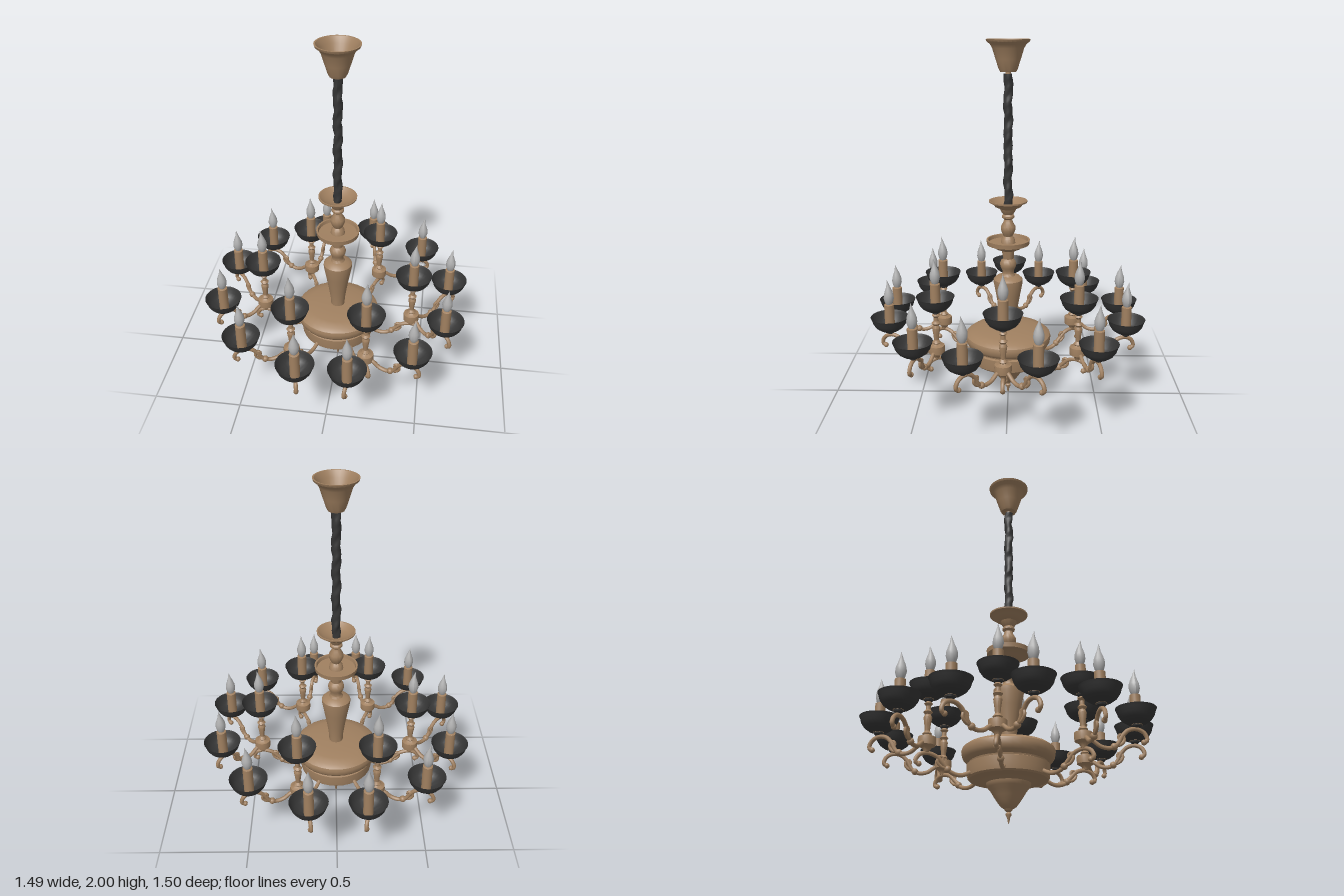
import * as THREE from 'three';
import { toCreasedNormals } from 'three/addons/utils/BufferGeometryUtils.js';

const bronze = new THREE.MeshStandardMaterial({ color: 0xa08060, side: THREE.DoubleSide });
bronze.name = 'bronze';
const darkShade = new THREE.MeshStandardMaterial({ color: 0x363636, side: THREE.DoubleSide });
darkShade.name = 'dark grey';
const glass = new THREE.MeshStandardMaterial({ color: 0xb0b0b0 });
glass.name = 'frosted glass';

// Turned part from [radius, height] pairs, listed bottom to top
function turned(points, segments) {
  const profile = points.map(([r, y]) => new THREE.Vector2(r, y));
  return toCreasedNormals(new THREE.LatheGeometry(profile, segments), 0.6);
}

function add(parent, name, geometry, material, x = 0, y = 0, z = 0) {
  const mesh = new THREE.Mesh(geometry, material);
  mesh.name = name;
  mesh.position.set(x, y, z);
  parent.add(mesh);
  return mesh;
}

// Tube through [distance, height] pairs in the arm's own plane
function tube(points, radius, steps) {
  const curve = new THREE.CatmullRomCurve3(points.map(([d, y]) => new THREE.Vector3(d, y, 0)));
  return new THREE.TubeGeometry(curve, steps, radius, 8);
}

// Candle light, measured from the underside of its cup
const cupGeo = turned([[0.012, -0.012], [0.022, -0.004], [0.024, 0.004], [0.05, 0.012], [0.075, 0.03],
  [0.09, 0.052], [0.097, 0.075], [0.103, 0.088]], 28);
const candleGeo = turned([[0, 0.004], [0.027, 0.004], [0.027, 0.158], [0.018, 0.162], [0, 0.162]], 16);
const bulbGeo = new THREE.LatheGeometry([[0.014, 0.158], [0.022, 0.172], [0.028, 0.195], [0.026, 0.218],
  [0.018, 0.242], [0.01, 0.262], [0.005, 0.28], [0, 0.3]].map(([r, y]) => new THREE.Vector2(r, y)), 14);
// bend the flame tip sideways
const bulbPos = bulbGeo.attributes.position;
for (let i = 0; i < bulbPos.count; i++) {
  const t = Math.max(0, (bulbPos.getY(i) - 0.23) / 0.07);
  bulbPos.setX(i, bulbPos.getX(i) + 0.008 * t * t);
}
bulbGeo.computeVertexNormals();

function candleLight(parent, x, y) {
  const light = new THREE.Group();
  light.name = 'candleLight';
  light.position.set(x, y, 0);
  add(light, 'cup', cupGeo, darkShade);
  add(light, 'candleSleeve', candleGeo, bronze);
  add(light, 'flameBulb', bulbGeo, glass);
  parent.add(light);
}

// Scrolled arm pieces, shared by the main arms and the branches
const mainArmGeo = tube([[0.17, 0.265], [0.21, 0.235], [0.26, 0.217], [0.31, 0.228], [0.345, 0.262],
  [0.385, 0.298], [0.437, 0.31], [0.475, 0.295], [0.49, 0.262], [0.472, 0.25]], 0.011, 44);
const branchGeo = tube([[0.0, 0.365], [0.045, 0.35], [0.085, 0.323], [0.13, 0.317], [0.168, 0.338],
  [0.192, 0.378], [0.225, 0.41], [0.268, 0.418], [0.305, 0.4], [0.318, 0.365], [0.3, 0.35]], 0.011, 44);
const curlGeo = tube([[0, 0], [0.028, 0.006], [0.048, 0.03], [0.04, 0.055], [0.022, 0.052], [0.02, 0.036]], 0.008, 18);
const beadGeo = new THREE.SphereGeometry(0.018, 12, 8);
const endGeo = new THREE.SphereGeometry(0.014, 10, 8);
const hubGeo = turned([[0, 0.308], [0.014, 0.312], [0.018, 0.325], [0.026, 0.335], [0.044, 0.345], [0.046, 0.368],
  [0.044, 0.388], [0.028, 0.392], [0.018, 0.4]], 20);
const stemGeo = turned([[0.018, 0.395], [0.024, 0.405], [0.013, 0.42], [0.016, 0.45], [0.022, 0.49],
  [0.015, 0.505], [0.024, 0.518], [0.013, 0.53], [0.012, 0.55], [0.022, 0.562], [0.014, 0.572], [0.014, 0.586]], 14);

function makeArm(degrees) {
  const arm = new THREE.Group();
  arm.name = 'arm';
  add(arm, 'mainScroll', mainArmGeo, bronze);
  add(arm, 'scrollEnd', endGeo, bronze, 0.472, 0.252);
  add(arm, 'scrollBead', beadGeo, bronze, 0.325, 0.24);
  add(arm, 'scrollCurl', curlGeo, bronze, 0.33, 0.243);
  add(arm, 'hub', hubGeo, bronze, 0.437);
  add(arm, 'stem', stemGeo, bronze, 0.437);
  candleLight(arm, 0.437, 0.582);
  for (const side of [-1, 1]) {
    const branch = new THREE.Group();
    branch.name = 'branch';
    branch.position.x = 0.437;
    branch.rotation.y = side * THREE.MathUtils.degToRad(42.7);
    add(branch, 'branchScroll', branchGeo, bronze);
    add(branch, 'scrollEnd', endGeo, bronze, 0.3, 0.352);
    add(branch, 'scrollBead', beadGeo, bronze, 0.15, 0.325);
    add(branch, 'scrollCurl', curlGeo, bronze, 0.155, 0.33);
    candleLight(branch, 0.272, 0.436);
    arm.add(branch);
  }
  arm.rotation.y = -THREE.MathUtils.degToRad(degrees);
  return arm;
}

// Gathered fabric sleeve around the hanging chain
function sleeveGeometry() {
  const g = new THREE.CylinderGeometry(0.023, 0.023, 0.72, 12, 48);
  const p = g.attributes.position;
  for (let i = 0; i < p.count; i++) {
    const x = p.getX(i), y = p.getY(i), z = p.getZ(i);
    const a = Math.atan2(z, x);
    const k = 1 + 0.1 * Math.sin(3 * a + y * 45) + 0.08 * Math.sin(y * 95 + 2 * a);
    p.setXYZ(i, x * k + 0.002 * Math.sin(y * 38), y, z * k + 0.002 * Math.cos(y * 31));
  }
  g.computeVertexNormals();
  return g;
}

export function createModel() {
  const model = new THREE.Group();
  model.name = 'chandelier';

  // Ceiling canopy and hanging sleeve
  add(model, 'canopy', turned([[0, 1.835], [0.042, 1.835], [0.05, 1.85], [0.066, 1.9], [0.083, 1.955],
    [0.095, 1.975], [0.112, 1.988], [0.116, 2.0], [0.108, 2.0], [0.088, 1.97], [0.045, 1.85], [0, 1.85]], 32), bronze);
  add(model, 'canopyNozzle', new THREE.CylinderGeometry(0.014, 0.014, 0.04, 12), bronze, 0, 1.83);
  add(model, 'chainSleeve', sleeveGeometry(), darkShade, 0, 1.465);

  // Turned central column
  add(model, 'topDish', turned([[0.024, 1.07], [0.036, 1.085], [0.045, 1.105], [0.072, 1.118], [0.08, 1.13],
    [0.104, 1.142], [0.105, 1.15], [0.098, 1.15], [0.07, 1.128], [0, 1.11]], 32), bronze);
  add(model, 'upperColumn', turned([[0.04, 0.91], [0.036, 0.935], [0.024, 0.95], [0.032, 0.965], [0.04, 0.985],
    [0.04, 1.005], [0.026, 1.03], [0.022, 1.045], [0.034, 1.055], [0.034, 1.065], [0.022, 1.08]], 24), bronze);
  add(model, 'middlePlate', turned([[0.03, 0.865], [0.05, 0.872], [0.072, 0.882], [0.09, 0.898], [0.117, 0.905],
    [0.12, 0.93], [0.11, 0.93], [0.106, 0.912], [0, 0.91]], 32), bronze);
  add(model, 'vaseColumn', turned([[0.05, 0.395], [0.04, 0.41], [0.042, 0.45], [0.052, 0.52], [0.068, 0.61],
    [0.081, 0.68], [0.081, 0.7], [0.066, 0.715], [0.04, 0.722], [0.032, 0.735], [0.032, 0.752], [0.042, 0.77],
    [0.046, 0.79], [0.04, 0.808], [0.028, 0.82], [0.032, 0.845], [0.036, 0.87]], 24), bronze);

  // Central bowl with stepped rim and domed lid
  add(model, 'bowl', turned([[0.1, 0.195], [0.115, 0.2], [0.14, 0.212], [0.2, 0.217], [0.208, 0.225], [0.212, 0.25],
    [0.213, 0.292], [0.2, 0.297], [0.202, 0.305], [0.228, 0.318], [0.238, 0.335], [0.242, 0.36], [0.238, 0.375],
    [0.215, 0.392], [0.17, 0.403], [0.1, 0.41], [0, 0.412]], 32), bronze);
  add(model, 'bowlTip', turned([[0.02, 0.072], [0.04, 0.085], [0.055, 0.105], [0.075, 0.135], [0.09, 0.16],
    [0.105, 0.178], [0.112, 0.19], [0.115, 0.203]], 32), bronze);
  add(model, 'finial', turned([[0, 0], [0.005, 0.012], [0.007, 0.03], [0.014, 0.042], [0.015, 0.05],
    [0.008, 0.058], [0.018, 0.066], [0.022, 0.075]], 14), bronze);

  // Six branching arms, each carrying three lights
  for (const degrees of [2.3, 62, 118, 180, 240, 299]) model.add(makeArm(degrees));
  return model;
}
